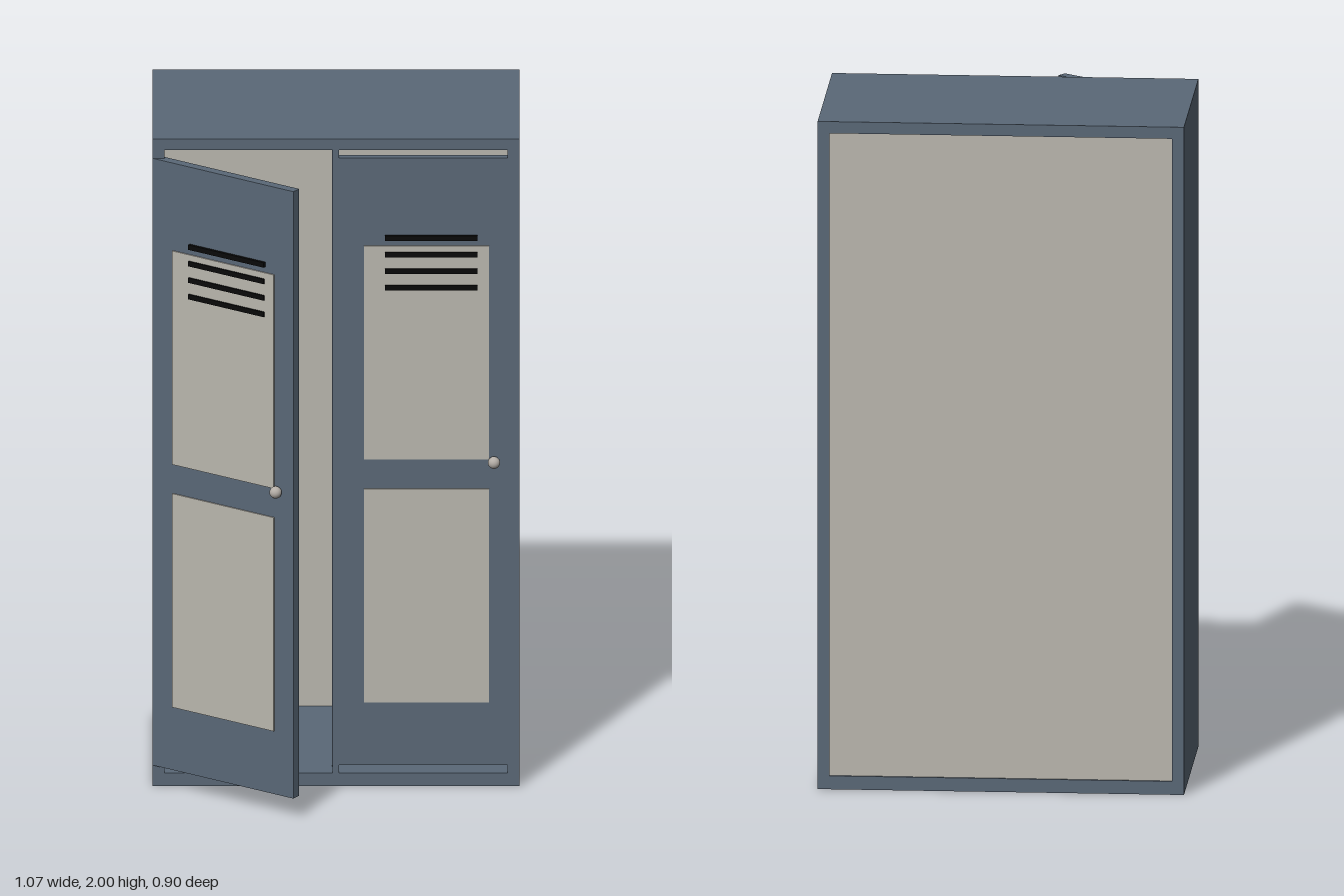
import * as THREE from 'three';

const paint = new THREE.MeshStandardMaterial({ name: 'slate paint', color: 0x5a6877 });
const panel = new THREE.MeshStandardMaterial({ name: 'pale grey panel', color: 0xbab7ae });
const knobMetal = new THREE.MeshStandardMaterial({ name: 'knob grey', color: 0xb3ada6 });
const black = new THREE.MeshStandardMaterial({ name: 'vent black', color: 0x0a0a0a });

// Box given by its minimum and maximum corners
function box(parent, name, material, [x0, y0, z0], [x1, y1, z1]) {
  const mesh = new THREE.Mesh(new THREE.BoxGeometry(x1 - x0, y1 - y0, z1 - z0), material);
  mesh.position.set((x0 + x1) / 2, (y0 + y1) / 2, (z0 + z1) / 2);
  mesh.name = name;
  parent.add(mesh);
  return mesh;
}

// Door with its hinge edge at x = 0 and its front face at z = 0
function makeDoor(name, width) {
  const door = new THREE.Group();
  door.name = name;
  box(door, 'doorLeaf', paint, [0, 0.065, -0.03], [width, 1.94, 0]);
  for (const [y0, y1] of [[0.26, 0.92], [1.01, 1.67]]) {
    box(door, 'doorPanel', panel, [0.073, y0, 0], [0.437, y1, 0.004]);
  }
  for (let i = 0; i < 4; i++) {
    const y = 1.695 - i * 0.051;
    box(door, 'ventSlot', black, [0.134, y - 0.0075, 0], [0.404, y + 0.0075, 0.0095]);
  }
  const knob = new THREE.Mesh(new THREE.SphereGeometry(0.018, 24, 16), knobMetal);
  knob.name = 'knob';
  knob.position.set(0.452, 1.005, 0.016);
  door.add(knob);
  return door;
}

export function createModel() {
  const locker = new THREE.Group();
  locker.name = 'locker';
  const W = 0.535, T = 0.035, back = -0.45, front = 0.157;

  // Carcass
  for (const s of [-1, 1]) {
    const x = s * (W - T / 2);
    box(locker, s < 0 ? 'rightWall' : 'leftWall', paint, [x - T / 2, 0, back], [x + T / 2, 2, front]);
  }
  box(locker, 'floor', paint, [-W + T, 0, back], [W - T, 0.04, front]);
  box(locker, 'roof', paint, [-W + T, 2 - T, back], [W - T, 2, front]);
  box(locker, 'backPanel', panel, [-W + T, 0.04, back + 0.006], [W - T, 2 - T, back + 0.018]);
  box(locker, 'divider', paint, [-0.011, 0.04, back + 0.018], [0.008, 2 - T, front]);

  // Closed door, hinged at the divider
  const closedDoor = makeDoor('closedDoor', 0.492);
  closedDoor.position.set(0.008, 0, front);
  locker.add(closedDoor);

  // Open door, swung outward from the outer wall
  const openDoor = makeDoor('openDoor', 0.504);
  openDoor.position.set(-W, 0, front);
  openDoor.rotation.y = -THREE.MathUtils.degToRad(35.5);
  locker.add(openDoor);

  return locker;
}
